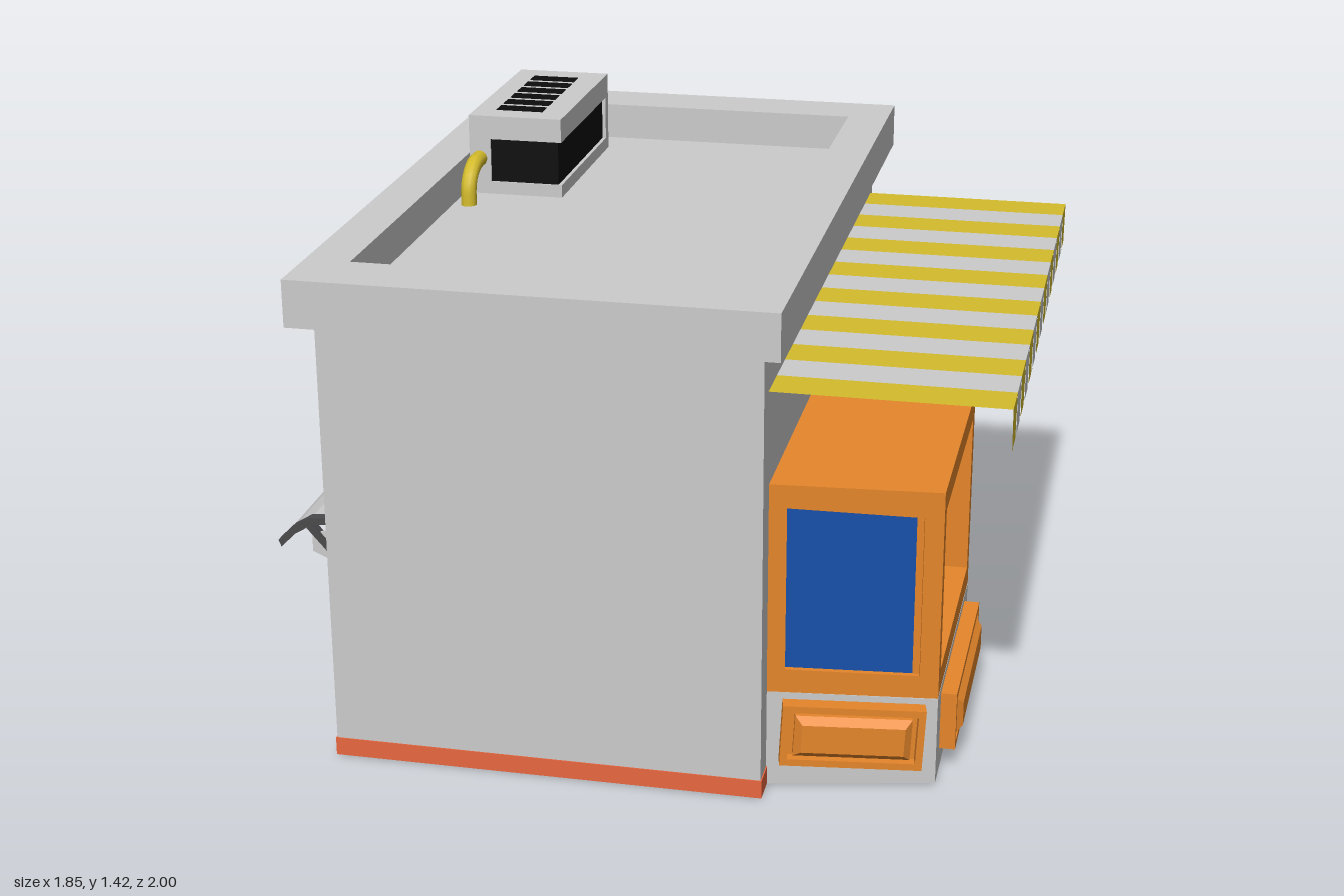
import * as THREE from 'three';

const mat = (color) => new THREE.MeshStandardMaterial({ color, side: THREE.DoubleSide });
const GREY = mat(0xcccccc), ORANGE = mat(0xe6862a), BLUE = mat(0x1750aa), YELLOW = mat(0xd4bc2c);
const RED = mat(0xe8673f), BLACK = mat(0x0c0c0c), DARK = mat(0x4a4a4c), STEEL = mat(0x8a9099);

function add(parent, name, geo, material) {
  const m = new THREE.Mesh(geo, material);
  m.name = name;
  parent.add(m);
  return m;
}
// Box given by its minimum and maximum on each axis
function box(parent, name, material, x0, x1, y0, y1, z0, z1) {
  const m = add(parent, name, new THREE.BoxGeometry(x1 - x0, y1 - y0, z1 - z0), material);
  m.position.set((x0 + x1) / 2, (y0 + y1) / 2, (z0 + z1) / 2);
  return m;
}
const pts = (list) => list.map(([x, y]) => new THREE.Vector2(x, y));
const rect = (x0, x1, y0, y1) => [[x0, y0], [x1, y0], [x1, y1], [x0, y1]];
function extrude(outer, hole, depth, bevel) {
  const s = new THREE.Shape(pts(outer));
  if (hole) s.holes.push(new THREE.Path(pts(hole)));
  return new THREE.ExtrudeGeometry(s, {
    depth, bevelEnabled: !!bevel, bevelSize: bevel || 0, bevelThickness: bevel || 0, bevelSegments: 1, curveSegments: 12,
  });
}
function tube(parent, name, material, r, points) {
  const curve = new THREE.CatmullRomCurve3(points.map((p) => new THREE.Vector3(...p)));
  return add(parent, name, new THREE.TubeGeometry(curve, 12, r, 10), material);
}
// Group on a wall: local z points out of the wall, local x runs along it
function wall(parent, name, x, z, angle) {
  const g = new THREE.Group();
  g.name = name;
  g.position.set(x, 0, z);
  g.rotation.y = angle;
  parent.add(g);
  return g;
}
// Framed panel with a raised bevelled field
function panel(parent, w, h, y, k, tilt = 0) {
  const g = new THREE.Group();
  g.name = 'raisedPanel';
  g.position.y = y;
  g.rotation.z = tilt;
  g.scale.z = k;
  parent.add(g);
  const a = w / 2, b = h / 2, t = 0.018;
  add(g, 'panelFrame', extrude(rect(-a, a, -b, b), rect(t - a, a - t, t - b, b - t), 0.04), ORANGE);
  add(g, 'panelBack', extrude(rect(-a, a, -b, b), null, 0.012), ORANGE);
  add(g, 'panelField', extrude(rect(0.05 - a, a - 0.05, 0.045 - b, b - 0.045), null, 0.035, 0.018), ORANGE);
}

function bayWindow(root) {
  const bay = new THREE.Group();
  bay.name = 'bayWindow';
  root.add(bay);
  // Trapezoid prism whose upper levels fall away from the wall
  const prism = (name, y0, y1, material) => {
    const geo = extrude([[0.34, -0.85], [0.35, -0.85], [0.765, -0.76], [0.765, -0.07], [0.35, 0.02], [0.34, 0.02]], null, y1 - y0);
    geo.rotateX(-Math.PI / 2).translate(0, y0, 0);
    const p = geo.attributes.position;
    for (let i = 0; i < p.count; i++) if (p.getY(i) > 0) p.setY(i, p.getY(i) - (p.getX(i) - 0.35) * 0.06);
    geo.computeVertexNormals();
    add(bay, name, geo, material);
  };
  prism('bayBase', 0, 0.26, GREY);
  prism('bayRoof', 0.79, 0.815, ORANGE);

  const front = wall(bay, 'bayFront', 0.765, 0.415, Math.PI / 2);
  const f = add(front, 'windowFrame', extrude(rect(-0.345, 0.345, 0.24, 0.788), rect(-0.305, 0.305, 0.3, 0.73), 0.07), ORANGE);
  f.position.z = -0.07;
  const glass = add(front, 'glass', new THREE.PlaneGeometry(0.64, 0.46), BLUE);
  glass.position.set(0, 0.515, -0.066);
  panel(front, 0.545, 0.155, 0.138, 1);

  const turn = Math.atan2(0.09, 0.415), a = 0.2123;
  for (const s of [1, -1]) {
    const side = wall(bay, 'baySide', 0.5575, 0.415 + s * 0.39, s > 0 ? turn : Math.PI - turn);
    const flip = (list) => list.map(([x, y]) => [s * x, y]);
    const outer = flip([[-a, 0.26], [a, 0.237], [a, 0.788], [-a, 0.815]]);
    const inner = flip([[-0.168, 0.32], [0.165, 0.3], [0.165, 0.725], [-0.168, 0.752]]);
    add(side, 'windowFrame', extrude(outer, inner, 0.02), ORANGE).position.z = -0.02;
    add(side, 'glass', new THREE.ShapeGeometry(new THREE.Shape(pts(inner))), BLUE).position.z = -0.014;
    panel(side, 0.355, 0.165, 0.148, 1, -s * 0.05);
  }
}

function shopDoor(root) {
  const door = wall(root, 'shopDoor', 0.35, -0.5675, Math.PI / 2);
  add(door, 'doorLeaf', extrude(rect(-0.2025, 0.2025, 0.005, 0.805), rect(-0.178, 0.178, 0.43, 0.77), 0.02), ORANGE);
  add(door, 'doorGlass', new THREE.PlaneGeometry(0.36, 0.345), BLUE).position.set(0, 0.6, 0.008);
  box(door, 'doorHandle', YELLOW, 0.13, 0.185, 0.35, 0.44, 0.02, 0.05);
  panel(door, 0.335, 0.13, 0.13, 0.9);
}

function awning(root) {
  const g = new THREE.Group();
  g.name = 'awning';
  root.add(g);
  const n = 15, w = 1.695 / n;
  for (let i = 0; i < n; i++) {
    const m = i % 2 ? GREY : YELLOW, z = 0.87 - (i + 0.5) * w;
    const stripe = add(g, 'awningStripe', new THREE.PlaneGeometry(0.585, w), m);
    stripe.rotation.x = -Math.PI / 2;
    stripe.position.set(0.6325, 1.06, z);
    // Hanging scallop
    const flap = new THREE.Shape(pts([[-w / 2, 0], [w / 2, 0], [w * 0.36, -0.11], [-w * 0.36, -0.11]]));
    const f = add(g, 'awningFlap', new THREE.ShapeGeometry(flap), m);
    f.rotation.y = Math.PI / 2;
    f.position.set(0.925, 1.06, z);
  }
}

function roofUnit(root) {
  const g = new THREE.Group();
  g.name = 'roofVentUnit';
  root.add(g);
  box(g, 'unitBase', GREY, -0.67, -0.41, 1.2, 1.235, -0.67, -0.13);
  box(g, 'unitCore', BLACK, -0.61, -0.42, 1.235, 1.356, -0.64, -0.135);
  box(g, 'unitSide', GREY, -0.67, -0.61, 1.235, 1.356, -0.67, -0.13);
  box(g, 'unitBack', GREY, -0.67, -0.41, 1.235, 1.356, -0.67, -0.64);
  box(g, 'unitTop', GREY, -0.67, -0.41, 1.355, 1.42, -0.67, -0.13);
  for (let i = 0; i < 6; i++) {
    const z = -0.573 + i * 0.07;
    box(g, 'ventSlot', BLACK, -0.61, -0.48, 1.41, 1.422, z - 0.024, z + 0.024);
  }
  for (const x of [-0.63, -0.55, -0.47])
    tube(g, 'rearPipe', YELLOW, 0.022, [[x, 1.295, -0.66], [x, 1.285, -0.71], [x, 1.25, -0.75], [x, 1.19, -0.76]]);
  tube(g, 'frontPipe', YELLOW, 0.022, [[-0.642, 1.3, -0.14], [-0.642, 1.295, -0.07], [-0.642, 1.26, -0.025], [-0.642, 1.19, -0.015]]);
}

function wallUnit(root) {
  const g = new THREE.Group();
  g.name = 'wallAirUnit';
  root.add(g);
  box(g, 'mountPlate', GREY, -0.48, -0.195, 0.875, 1.1, -0.875, -0.855);
  box(g, 'unitCase', GREY, -0.475, -0.2, 0.885, 1.09, -0.985, -0.87);
  box(g, 'sideVent', BLACK, -0.25, -0.196, 0.905, 1.075, -0.965, -0.885);
  const face = wall(g, 'unitFace', -0.37, -0.985, Math.PI);
  add(face, 'fanDisc', new THREE.CircleGeometry(0.075, 24), BLACK).position.set(0, 0.985, 0.003);
  add(face, 'fanRing', new THREE.TorusGeometry(0.076, 0.005, 6, 28), DARK).position.set(0, 0.985, 0.002);
  for (let i = 0; i < 5; i++) {
    const blade = add(face, 'fanBlade', new THREE.CircleGeometry(0.066, 5, i * 1.2566, 0.6), DARK);
    blade.position.set(0, 0.985, 0.005);
  }
  const hub = add(face, 'fanHub', new THREE.CylinderGeometry(0.015, 0.015, 0.01, 12), GREY);
  hub.rotation.x = Math.PI / 2;
  hub.position.set(0, 0.985, 0.005);
  for (const y of [0.925, 1.05]) {
    box(g, 'coverPlate', GREY, -0.265, -0.212, y - 0.018, y + 0.018, -1, -0.98);
    box(g, 'coverInset', STEEL, -0.255, -0.222, y - 0.004, y + 0.004, -1.001, -0.99);
  }
  tube(g, 'coolantPipe', YELLOW, 0.01, [[-0.21, 1.06, -0.92], [-0.18, 1.06, -0.915], [-0.165, 1.06, -0.89], [-0.165, 1.06, -0.85]]);
}

function sideEntrance(root) {
  // Slatted shutter
  const g = new THREE.Group();
  g.name = 'sideEntrance';
  root.add(g);
  box(g, 'shutter', STEEL, -0.757, -0.74, 0.002, 0.48, 0.44, 0.75);
  for (let i = 0; i < 8; i++) {
    const y = 0.045 + i * 0.055;
    box(g, 'slat', STEEL, -0.765, -0.75, y - 0.013, y + 0.013, 0.465, 0.725).rotation.z = 0.35;
  }
  for (const z of [0.44, 0.732]) box(g, 'shutterJamb', GREY, -0.765, -0.74, 0, 0.48, z, z + 0.018);
  // Arched canopy, swept along z
  const top = [[-0.745, 0.59], [-0.79, 0.597], [-0.84, 0.592], [-0.885, 0.565], [-0.925, 0.525]];
  const band = (t) => [...top, ...top.map(([x, y]) => [x + t * 0.4, y - t]).reverse()];
  add(g, 'canopySheet', extrude(band(0.008), null, 0.37), GREY).position.z = 0.397;
  const strut = [[-0.745, 0.485], [-0.745, 0.462], [-0.795, 0.505], [-0.85, 0.568], [-0.84, 0.58], [-0.78, 0.515]];
  const gusset = [[-0.745, 0.575], [-0.84, 0.55], [-0.84, 0.502], [-0.745, 0.46]];
  for (const z of [0.37, 0.768]) {
    const rib = add(g, 'canopyRib', extrude(band(0.018), null, 0.028), DARK);
    rib.position.set(-0.003, 0.004, z);
    add(g, 'canopyStrut', extrude(strut, null, 0.028), DARK).position.z = z;
    add(g, 'canopyGusset', extrude(gusset, null, 0.008), GREY).position.z = z + 0.01;
  }
}

export function createModel() {
  const root = new THREE.Group();
  root.name = 'cornerShop';
  // Shell: walls, skirting, roof deck and parapet
  box(root, 'walls', GREY, -0.75, 0.35, 0, 1.2, -0.86, 0.925);
  box(root, 'skirting', RED, -0.753, 0.353, 0.002, 0.05, -0.863, 0.928);
  const parapet = extrude(rect(-0.8, 0.4, -0.995, 0.94), rect(-0.685, 0.285, -0.83, 0.78), 0.12);
  parapet.rotateX(-Math.PI / 2).translate(0, 1.18, 0);
  add(root, 'parapet', parapet, GREY);
  bayWindow(root);
  shopDoor(root);
  awning(root);
  roofUnit(root);
  wallUnit(root);
  sideEntrance(root);
  return root;
}
